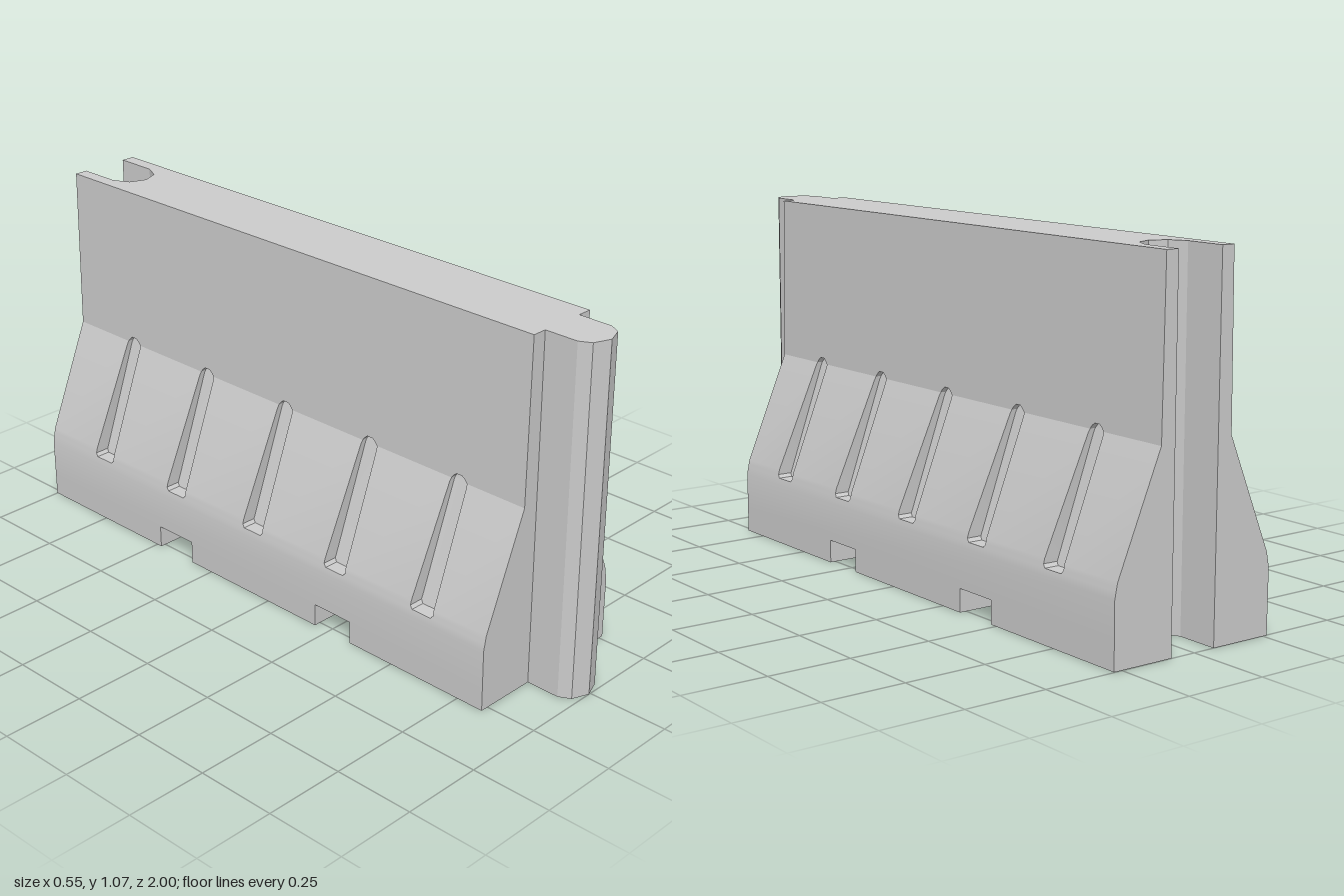
import * as THREE from 'three';
import { toCreasedNormals } from 'three/addons/utils/BufferGeometryUtils.js';

const H = 1.07, BACK = -1, FRONT = 0.84, SLOT_H = 0.07;

// Half-width of the barrier against height, as [y, x]
const PROFILE = [[0, 0.27], [0.19, 0.271], [0.235, 0.262], [0.57, 0.122], [H, 0.116]];
// Groove half-width against height, rounded at both ends
const GROOVE = [[0.21, 0.034], [0.22, 0.042], [0.235, 0.041], [0.56, 0.03], [0.57, 0.028], [0.58, 0.02], [0.588, 0.01]];
const GROOVE_BACK = [[0.21, 0.222], [0.57, 0.104], [0.588, 0.101]];
const GROOVE_Z = [-0.745, -0.405, -0.065, 0.275, 0.61];
// Lengthwise segments that touch the ground; the gaps are the lifting slots
const FEET = [[BACK, -0.48], [-0.335, 0.2], [0.34, FRONT]];
// Half outline of the socket, as [x, z]
const SOCKET = [[0.075, BACK], [0.075, -0.87], [0.05, -0.82], [0, -0.8]];

function lerpTable(table, y) {
  let i = 0;
  while (i < table.length - 2 && y > table[i + 1][0]) i++;
  const [y0, v0] = table[i], [y1, v1] = table[i + 1];
  return v0 + (v1 - v0) * (y - y0) / (y1 - y0);
}
const half = (y) => lerpTable(PROFILE, y);

// One half of the body; s = 1 or -1 picks the side
function buildHalf(s, out) {
  const quad = (...p) => {
    if (s < 0) p.reverse();
    for (const i of [0, 1, 2, 0, 2, 3]) out.push(p[i][0] * s, p[i][1], p[i][2]);
  };
  const panel = (y0, y1, a0, b0, a1, b1, f = half) => // faces outward
    quad([f(y0), y0, b0], [f(y0), y0, a0], [f(y1), y1, a1], [f(y1), y1, b1]);

  // Plain side bands below and above the grooves
  const gTop = GROOVE[GROOVE.length - 1][0];
  for (const [a, b] of FEET) panel(0, SLOT_H, a, b, a, b);
  for (const [y0, y1] of [[SLOT_H, 0.19], [0.19, 0.21], [gTop, H]]) panel(y0, y1, BACK, FRONT, BACK, FRONT);

  // Band with grooves: surface between them, then their backs and walls
  const inner = (y) => lerpTable(GROOVE_BACK, y);
  for (let r = 0; r < GROOVE.length - 1; r++) {
    const [y0, h0] = GROOVE[r], [y1, h1] = GROOVE[r + 1];
    for (let i = 0; i <= GROOVE_Z.length; i++) {
      const a = GROOVE_Z[i - 1], b = GROOVE_Z[i];
      panel(y0, y1, i ? a + h0 : BACK, b === undefined ? FRONT : b - h0,
        i ? a + h1 : BACK, b === undefined ? FRONT : b - h1);
    }
    for (const z of GROOVE_Z) {
      panel(y0, y1, z - h0, z + h0, z - h1, z + h1, inner);
      for (const d of [1, -1]) {
        const wall = [[half(y0), y0, z + d * h0], [inner(y0), y0, z + d * h0],
          [inner(y1), y1, z + d * h1], [half(y1), y1, z + d * h1]];
        quad(...(d > 0 ? wall : wall.reverse()));
      }
    }
  }
  // Groove floors and tops
  for (const [[y, h], up] of [[GROOVE[0], true], [GROOVE[GROOVE.length - 1], false]]) {
    for (const z of GROOVE_Z) {
      const cap = [[half(y), y, z + h], [half(y), y, z - h], [inner(y), y, z - h], [inner(y), y, z + h]];
      quad(...(up ? cap : cap.reverse()));
    }
  }

  // End faces
  for (let i = 0; i < PROFILE.length - 1; i++) {
    const [y0, x0] = PROFILE[i], [y1, x1] = PROFILE[i + 1];
    quad([0, y0, FRONT], [x0, y0, FRONT], [x1, y1, FRONT], [0, y1, FRONT]);
    const n = SOCKET[0][0];
    quad([x0, y0, BACK], [n, y0, BACK], [n, y1, BACK], [x1, y1, BACK]);
  }

  // Top and underside around the socket, and the socket walls
  const level = (y, [xa, za], [xb, zb], up) => {
    const q = [[xa, y, za], [xb, y, zb], [half(y), y, zb], [half(y), y, za]];
    quad(...(up ? q : q.reverse()));
  };
  for (let i = 1; i < SOCKET.length; i++) {
    const a = SOCKET[i - 1], b = SOCKET[i];
    if (a[1] !== b[1]) {
      level(H, a, b, true);
      level(0, a, b, false);
    }
    quad([a[0], 0, a[1]], [b[0], 0, b[1]], [b[0], H, b[1]], [a[0], H, a[1]]);
  }
  const end = SOCKET[SOCKET.length - 1];
  level(H, end, [0, FRONT], true);
  FEET.forEach(([a, b], i) => level(0, i ? [0, a] : end, [0, b], false));

  // Lifting slots: ceiling and two walls each
  for (let i = 0; i < FEET.length - 1; i++) {
    const a = FEET[i][1], b = FEET[i + 1][0];
    level(SLOT_H, [0, a], [0, b], false);
    const w = half(0), t = half(SLOT_H);
    quad([0, 0, a], [w, 0, a], [t, SLOT_H, a], [0, SLOT_H, a]);
    quad([w, 0, b], [0, 0, b], [0, SLOT_H, b], [t, SLOT_H, b]);
  }
}

export function createModel() {
  const group = new THREE.Group();
  group.name = 'roadBarrier';
  const material = new THREE.MeshStandardMaterial({ color: 0xcccccc });

  const positions = [];
  buildHalf(1, positions);
  buildHalf(-1, positions);
  const bodyGeometry = new THREE.BufferGeometry();
  bodyGeometry.setAttribute('position', new THREE.Float32BufferAttribute(positions, 3));
  const body = new THREE.Mesh(toCreasedNormals(bodyGeometry, 0.3), material);
  body.name = 'barrierBody';
  group.add(body);

  // Full-height tongue that fits the socket of the next barrier
  const outline = [[-0.071, 0.82], [0.071, 0.82], [0.071, 0.945], [0.052, 0.98], [0, 1], [-0.052, 0.98], [-0.071, 0.945]];
  const shape = new THREE.Shape(outline.map(([x, z]) => new THREE.Vector2(x, -z)));
  const tongueGeometry = new THREE.ExtrudeGeometry(shape, { depth: H, bevelEnabled: false });
  tongueGeometry.rotateX(-Math.PI / 2);
  const tongue = new THREE.Mesh(tongueGeometry, material);
  tongue.name = 'connectorTongue';
  group.add(tongue);

  // The barrier stands very slightly askew
  group.rotation.y = -0.006;
  return group;
}
